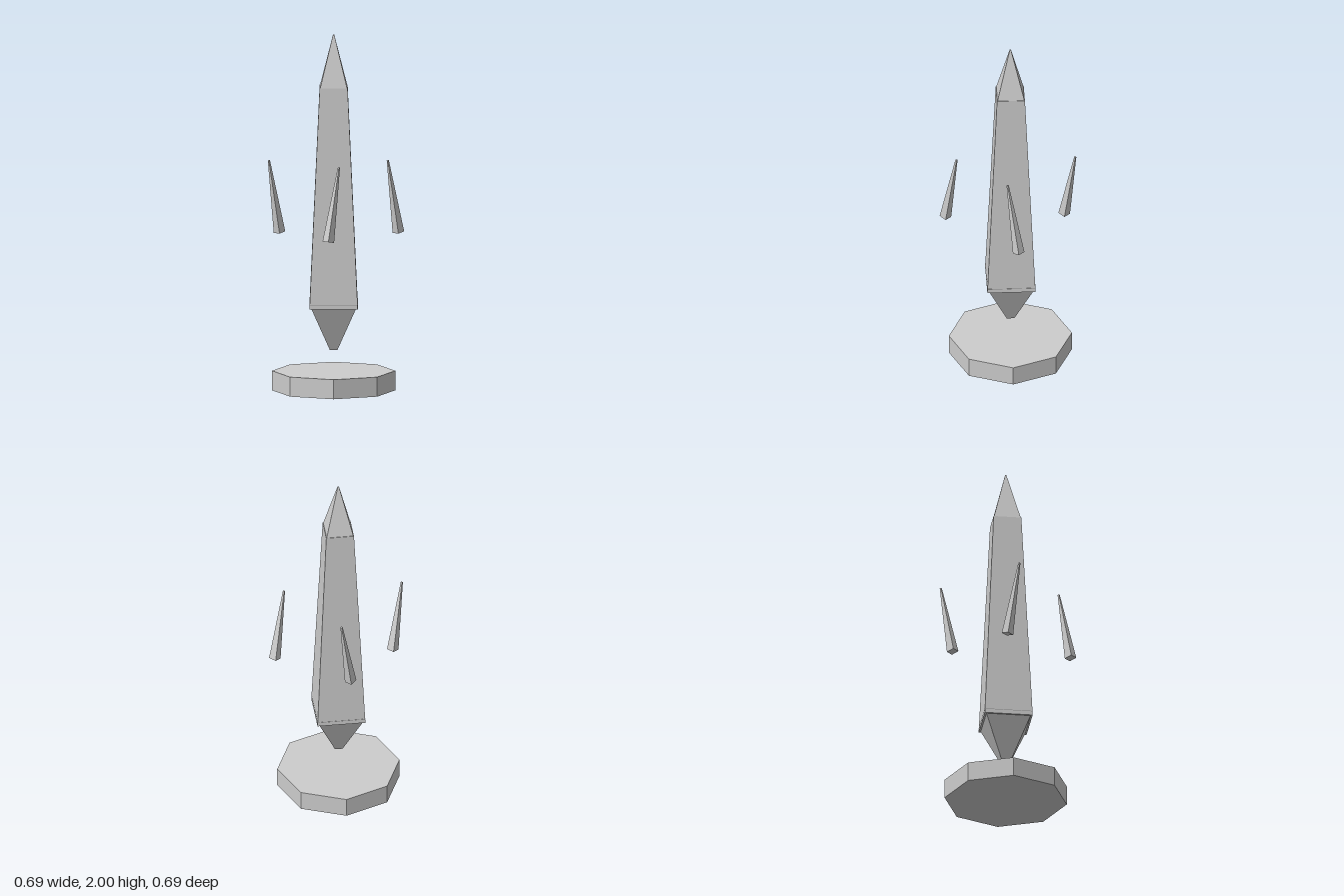
import * as THREE from 'three';

export function createModel() {
  const model = new THREE.Group();
  const stone = new THREE.MeshStandardMaterial({ color: 0xcccccc, flatShading: true });
  stone.name = 'paleStone';

  // Faceted tapering prism standing between two heights
  function prism(name, rTop, rBottom, y0, y1, sides) {
    const geometry = new THREE.CylinderGeometry(rTop, rBottom, y1 - y0, sides);
    geometry.translate(0, (y0 + y1) / 2, 0);
    const mesh = new THREE.Mesh(geometry, stone);
    mesh.name = name;
    model.add(mesh);
  }

  // Octagonal plinth and the floating obelisk above it
  prism('plinth', 0.343, 0.343, 0, 0.11, 8);
  prism('lowerPoint', 0.19, 0.03, 0.23, 0.5, 4);
  prism('shaft', 0.11, 0.19, 0.475, 1.71, 4);
  prism('upperPoint', 0.005, 0.106, 1.71, 2, 4);

  // Four square shards: front pair leans inward, back pair outward
  const shardGeometry = new THREE.CylinderGeometry(0.006, 0.0325, 0.42, 4);
  shardGeometry.rotateY(Math.PI / 4);
  for (const z of [1, -1]) {
    for (const x of [1, -1]) {
      const shard = new THREE.Mesh(shardGeometry, stone);
      shard.name = (z > 0 ? 'front' : 'back') + (x > 0 ? 'Left' : 'Right') + 'Shard';
      shard.position.set(x * 0.234, 1.092, z * 0.234);
      shard.rotation.z = x * z * 0.2;
      model.add(shard);
    }
  }
  return model;
}
